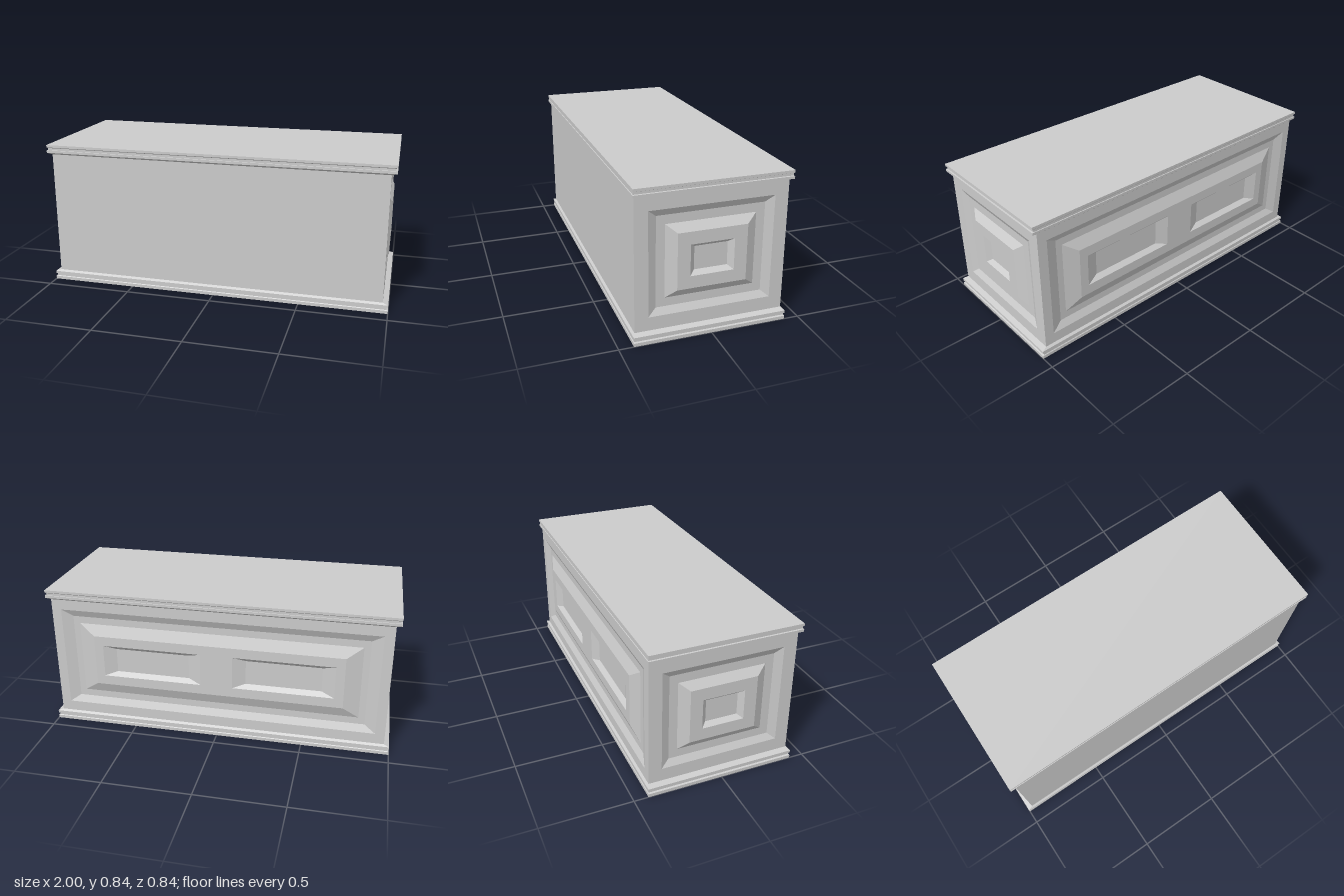
import * as THREE from 'three';
import { mergeGeometries } from 'three/addons/utils/BufferGeometryUtils.js';

const material = new THREE.MeshStandardMaterial({ color: 0xcccccc, flatShading: true });
const HX = 0.97, HZ = 0.408, Y0 = 0.06, Y1 = 0.784;

// Rectangle [x0, x1, y0, y1] at depth z, as four counter-clockwise corners
const corners = ([x0, x1, y0, y1], z) => [[x0, y0, z], [x1, y0, z], [x1, y1, z], [x0, y1, z]];

// Four-sided band joining one loop of corners to the next
function band(a, b) {
  const p = [];
  for (let i = 0; i < 4; i++) {
    const j = (i + 1) % 4;
    p.push(...a[i], ...a[j], ...b[j], ...a[i], ...b[j], ...b[i]);
  }
  return fromPoints(p);
}

function fromPoints(p) {
  const g = new THREE.BufferGeometry();
  g.setAttribute('position', new THREE.Float32BufferAttribute(p, 3));
  g.computeVertexNormals();
  return g;
}

// Flat face with rectangular holes
function plate(rect, z, holes = []) {
  const vecs = r => corners(r, 0).map(c => new THREE.Vector2(c[0], c[1]));
  const shape = new THREE.Shape(vecs(rect));
  holes.forEach(h => shape.holes.push(new THREE.Path(vecs(h).reverse())));
  const g = new THREE.ShapeGeometry(shape).toNonIndexed();
  g.deleteAttribute('uv');
  return g.translate(0, 0, z);
}

// Wall with a sunken frame, a raised field and bevelled recesses in the field
function panelledWall(name, steps, recesses) {
  const loops = steps.map(([r, z]) => corners(r, z));
  const parts = loops.slice(1).map((l, i) => band(loops[i], l));
  const [field, top] = steps[steps.length - 1];
  parts.push(plate(field, top, recesses.map(r => r.outer)));
  for (const { outer, inner, depth } of recesses) {
    parts.push(band(corners(outer, top), corners(inner, top - depth)));
    parts.push(plate(inner, top - depth));
  }
  const mesh = new THREE.Mesh(mergeGeometries(parts), material);
  mesh.name = name;
  return mesh;
}

// Moulding from a profile of [y, projection]; ends are capped
function moulding(name, profile) {
  const loops = profile.map(([y, t]) => {
    const x = HX + 0.03 * t, z = HZ + 0.012 * t;
    return [[-x, y, z], [x, y, z], [x, y, -z], [-x, y, -z]];
  });
  const parts = loops.slice(1).map((l, i) => band(loops[i], l));
  const [a, b, c, d] = loops[0];
  parts.push(fromPoints([a, c, b, a, d, c].flat()));
  const [e, f, g, h] = loops[loops.length - 1];
  parts.push(fromPoints([e, f, g, e, g, h].flat()));
  const mesh = new THREE.Mesh(mergeGeometries(parts), material);
  mesh.name = name;
  return mesh;
}

export function createModel() {
  const model = new THREE.Group();
  model.name = 'panelledCounter';

  // Plain front
  const front = new THREE.Mesh(plate([-HX, HX, Y0, Y1], HZ), material);
  front.name = 'frontWall';
  model.add(front);

  // Panelled ends
  for (const s of [1, -1]) {
    const end = panelledWall(s > 0 ? 'leftEnd' : 'rightEnd', [
      [[-HZ, HZ, Y0, Y1], 0],
      [[-0.335, 0.335, 0.135, 0.709], 0],
      [[-0.29, 0.29, 0.173, 0.671], -0.02],
      [[-0.243, 0.243, 0.221, 0.622], -0.02],
      [[-0.187, 0.187, 0.267, 0.577], 0.011],
    ], [{ outer: [-0.118, 0.118, 0.335, 0.508], inner: [-0.09, 0.09, 0.357, 0.486], depth: 0.025 }]);
    end.rotation.y = s * Math.PI / 2;
    end.position.x = s * HX;
    model.add(end);
  }

  // Panelled back with two recesses
  const back = panelledWall('backWall', [
    [[-HX, HX, Y0, Y1], 0],
    [[-0.915, 0.915, 0.122, 0.724], 0],
    [[-0.852, 0.852, 0.164, 0.682], -0.02],
    [[-0.815, 0.815, 0.205, 0.64], -0.02],
    [[-0.725, 0.725, 0.268, 0.575], 0.006],
  ], [-1, 1].map(s => {
    const c = s * 0.384;
    return {
      outer: [c - 0.29, c + 0.29, 0.325, 0.518],
      inner: [c - 0.217, c + 0.217, 0.349, 0.494], depth: 0.025,
    };
  }));
  back.rotation.y = Math.PI;
  back.position.z = -HZ;
  model.add(back);

  // Base and top mouldings
  model.add(moulding('baseMoulding', [
    [0, 1], [0.018, 1], [0.022, 0.7], [0.034, 0.7], [0.035, 1], [0.05, 1], [0.06, 0],
  ]));
  model.add(moulding('topMoulding', [
    [0.784, 0], [0.794, 1], [0.808, 1], [0.809, 0.7], [0.822, 0.7], [0.826, 1], [0.84, 1],
  ]));
  return model;
}
